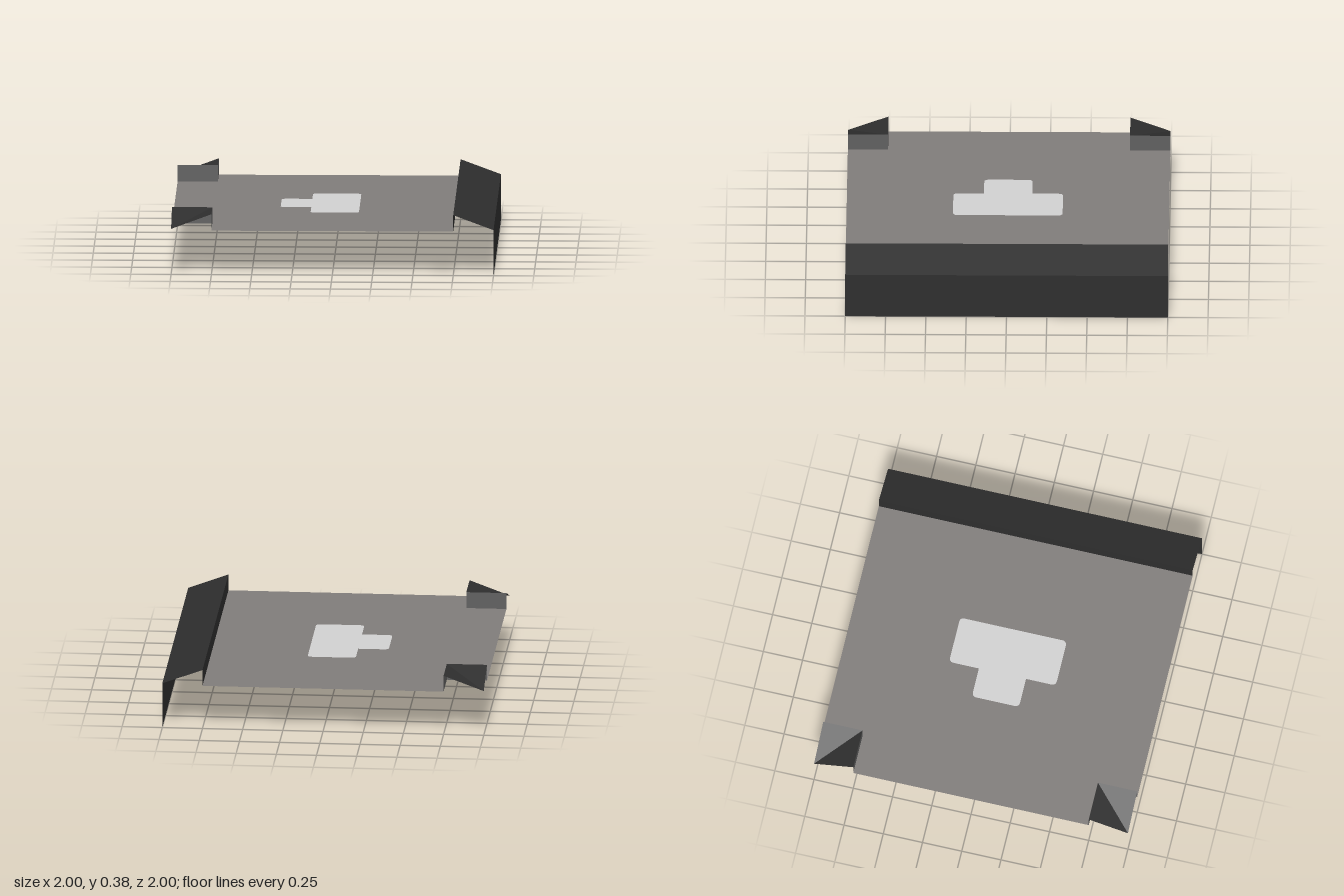
import * as THREE from 'three';

const ROAD_Y = 0.277, CURB_Y = 0.38, EDGE_Y = 0.287, IN = 0.75;

const mat = (name, color) => {
  const m = new THREE.MeshStandardMaterial({ color, side: THREE.DoubleSide });
  m.name = name;
  return m;
};

// Open surface made of separate flat quads or triangles
function faces(list) {
  const pos = [];
  for (const f of list)
    for (let i = 1; i < f.length - 1; i++) pos.push(...f[0], ...f[i], ...f[i + 1]);
  const g = new THREE.BufferGeometry();
  g.setAttribute('position', new THREE.Float32BufferAttribute(pos, 3));
  g.computeVertexNormals();
  return g;
}

// Points of the marking outline, with rounded outer corners
function markingPoints() {
  const r = 0.03, a = 0.15, b = 0.34;
  const s = new THREE.Shape();
  s.moveTo(a, -b + r);
  s.lineTo(a, b - r);
  s.quadraticCurveTo(a, b, a - r, b);
  s.lineTo(-a + r, b);
  s.quadraticCurveTo(-a, b, -a, b - r);
  s.lineTo(-a, a);
  s.lineTo(-b + r, a);
  s.quadraticCurveTo(-b, a, -b, a - r);
  s.lineTo(-b, -a + r);
  s.quadraticCurveTo(-b, -a, -b + r, -a);
  s.lineTo(-a, -a);
  s.lineTo(-a, -b + r);
  s.quadraticCurveTo(-a, -b, -a + r, -b);
  s.lineTo(a - r, -b);
  s.quadraticCurveTo(a, -b, a, -b + r);
  return s.getPoints(6);
}

export function createModel() {
  const model = new THREE.Group();
  const road = mat('asphalt', 0x807c7a);
  const paint = mat('marking paint', 0xd0d0d0);
  const dark = mat('dark curb', 0x2e2e2e);
  const grey = mat('grey curb face', 0x606060);

  const add = (name, geometry, material, parent = model) => {
    const m = new THREE.Mesh(geometry, material);
    m.name = name;
    parent.add(m);
  };
  const flat = (shape) => new THREE.ShapeGeometry(shape).rotateX(-Math.PI / 2).translate(0, ROAD_Y, 0);

  // Road sheet, cut away under the two corner curbs and around the marking
  const outline = [[IN, -1], [IN, 1], [-IN, 1], [-IN, IN], [-1, IN], [-1, -IN], [-IN, -IN], [-IN, -1]];
  const sheet = new THREE.Shape(outline.map(([x, y]) => new THREE.Vector2(x, y)));
  sheet.holes.push(new THREE.Path(markingPoints()));
  add('roadSurface', flat(sheet), road);
  add('junctionMarking', flat(new THREE.Shape(markingPoints())), paint);

  // Long curb: inner face, sloping top and tall outer wall
  const profile = [[IN, ROAD_Y], [IN, CURB_Y], [1, EDGE_Y], [1, 0]];
  ['curbInnerFace', 'curbTop', 'curbOuterWall'].forEach((name, i) => {
    const [x0, y0] = profile[i], [x1, y1] = profile[i + 1];
    add(name, faces([[[x0, y0, -1], [x0, y0, 1], [x1, y1, 1], [x1, y1, -1]]]), dark);
  });

  // Corner curbs: two grey faces and a top that dips to the outer corner
  for (const s of [1, -1]) {
    const corner = new THREE.Group();
    corner.name = s > 0 ? 'frontCornerCurb' : 'backCornerCurb';
    model.add(corner);
    const inner = [-IN, CURB_Y, s * IN], low = [-1, EDGE_Y, s];
    const endX = [-1, CURB_Y, s * IN], endZ = [-IN, CURB_Y, s];
    const down = ([x, , z]) => [x, ROAD_Y, z];
    // Winding is flipped on the mirrored corner
    const wind = (f) => (s > 0 ? f : [...f].reverse());
    add('cornerTop', faces([wind([low, endZ, inner]), wind([low, inner, endX])]), dark, corner);
    add('cornerFaces', faces([
      wind([down(endZ), down(inner), inner, endZ]),
      wind([down(inner), down(endX), endX, inner]),
    ]), grey, corner);
  }
  return model;
}
